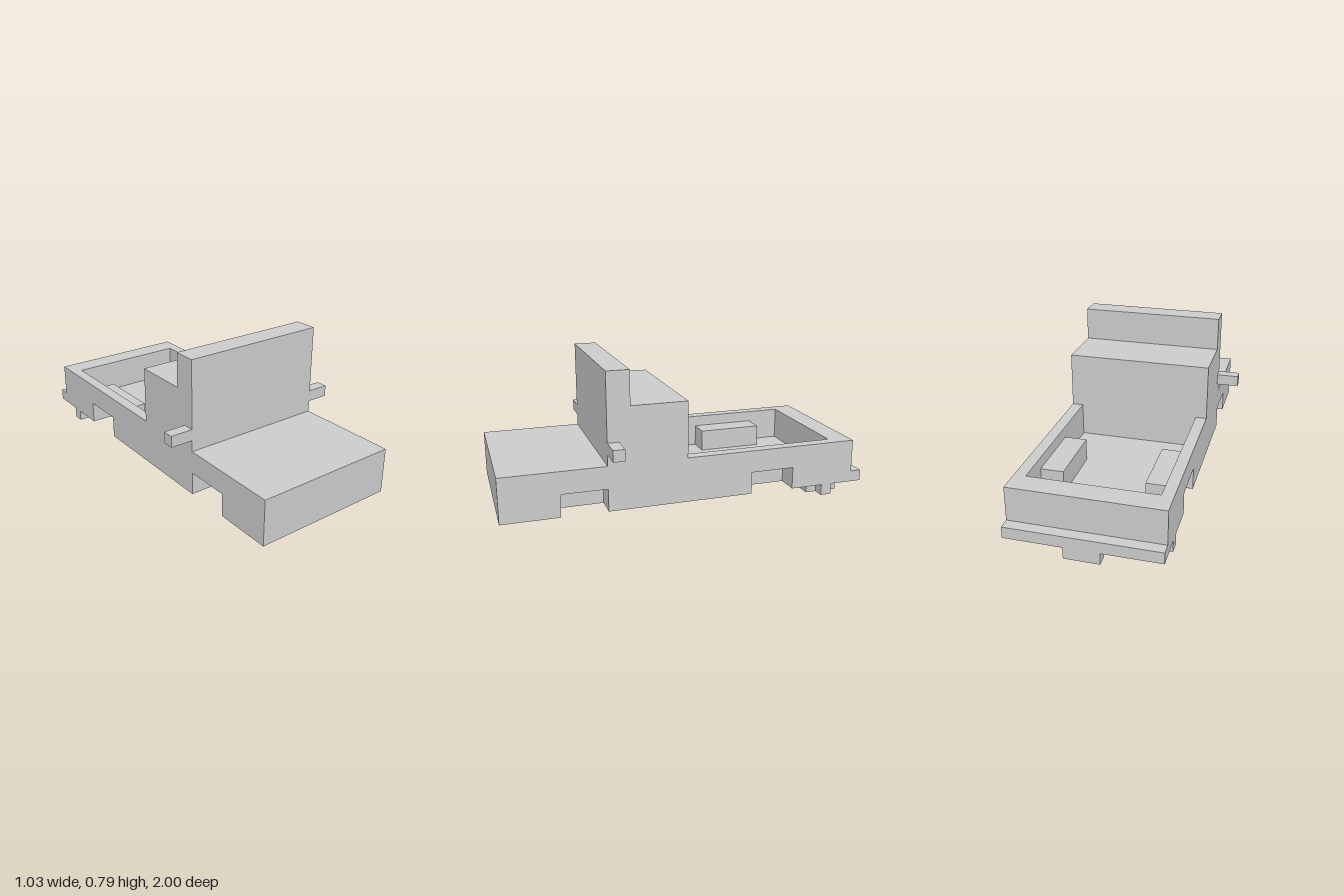
import * as THREE from 'three';

const U = 2 / 33; // one block; the model is 33 blocks long and 13 wide
const material = new THREE.MeshStandardMaterial({ color: 0xcccccc, flatShading: true });

// Box from block ranges: x from the right side, y from the ground, k back from the nose
function block(name, [x0, x1], [y0, y1], [k0, k1]) {
  const mesh = new THREE.Mesh(new THREE.BoxGeometry((x1 - x0) * U, (y1 - y0) * U, (k1 - k0) * U), material);
  mesh.position.set(((x0 + x1) / 2 - 6.5) * U, ((y0 + y1) / 2) * U, (16.5 - (k0 + k1) / 2) * U);
  mesh.name = name;
  return mesh;
}

// Side profile [k, y] extruded across the width from x0 to x1
function slice(name, [x0, x1], profile) {
  const shape = new THREE.Shape(profile.map(([k, y]) => new THREE.Vector2((k - 16.5) * U, y * U)));
  const geometry = new THREE.ExtrudeGeometry(shape, { depth: (x1 - x0) * U, bevelEnabled: false });
  geometry.rotateY(Math.PI / 2);
  const mesh = new THREE.Mesh(geometry, material);
  mesh.position.x = (x0 - 6.5) * U;
  mesh.name = name;
  return mesh;
}

export function createModel() {
  const truck = new THREE.Group();
  truck.name = 'pickupTruck';

  // Pieces of the side profile, running back along the underside and forward over the top
  const flatBottom = [[0, 1], [32, 1]];
  const archedBottom = [[0, 1], [5, 1], [5, 3], [9, 3], [9, 1], [22, 1], [22, 3], [26, 3], [26, 1], [32, 1]];
  const cab = [[16, 10], [11, 10], [11, 13], [9, 13], [9, 5], [0, 5]];
  const wall = [[32, 5], [16, 5]];
  const bed = [[32, 5], [30, 5], [30, 2], [16, 2]];
  const bedWithWheelTub = [[32, 5], [30, 5], [30, 2], [27, 2], [27, 4], [21, 4], [21, 2], [16, 2]];

  // Body: centre slice, then mirrored wheel tub and side wall slices
  truck.add(slice('bodyCentre', [3, 10], [...flatBottom, ...bed, ...cab]));
  for (const [side, span] of [['right', (a, b) => [a, b]], ['left', (a, b) => [13 - b, 13 - a]]]) {
    truck.add(
      slice(`${side}InnerWheelTub`, span(2, 3), [...flatBottom, ...bedWithWheelTub, ...cab]),
      slice(`${side}OuterWheelTub`, span(1, 2), [...archedBottom, ...bedWithWheelTub, ...cab]),
      slice(`${side}SideWall`, span(0, 1), [...archedBottom, ...wall, ...cab]),
      block(`${side}Mirror`, span(-2, 0), [6, 7], [9, 10]),
      // Exhaust under the tail, with its outlet to the side
      block(`${side}Exhaust`, span(1, 3), [0, 1], [28, 31]),
      block(`${side}ExhaustOutlet`, span(0, 1), [0, 1], [29, 30]),
    );
  }

  // Rear bumper with the plate block hanging below it
  truck.add(
    block('rearBumper', [0, 13], [1, 2], [32, 33]),
    block('plateHolder', [5, 8], [0, 1], [32, 33]),
  );
  return truck;
}
